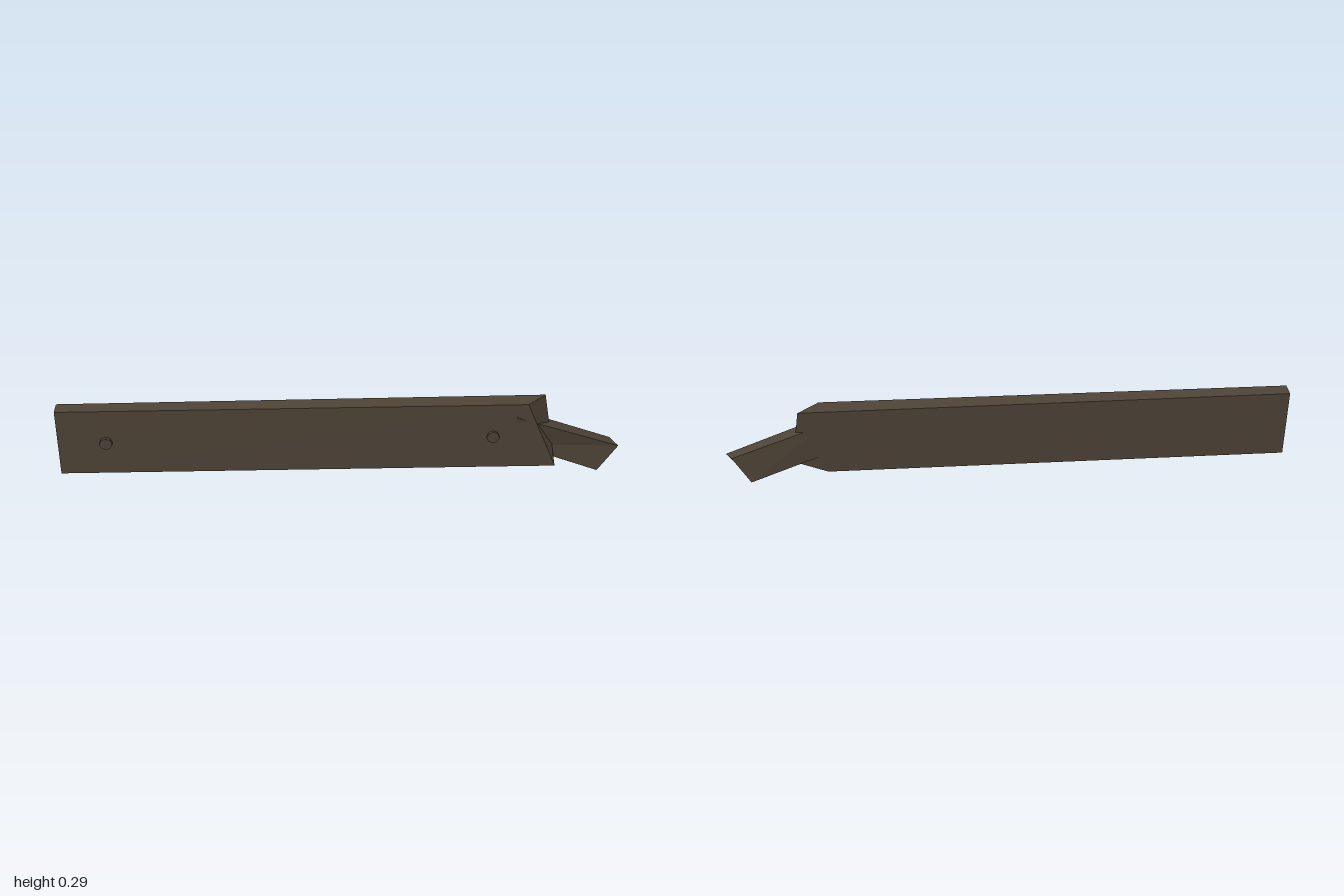
import * as THREE from 'three';

// Six-sided block from two end sections, each listed
// top front, top back, bottom back, bottom front.
function block(leftEnd, rightEnd) {
  const corners = [...leftEnd, ...rightEnd];
  const quads = [
    [0, 1, 2, 3], // left end
    [7, 6, 5, 4], // right end
    [3, 7, 4, 0], // front
    [1, 5, 6, 2], // back
    [0, 4, 5, 1], // top
    [2, 6, 7, 3], // bottom
  ];
  const positions = [];
  for (const [a, b, c, d] of quads) {
    for (const i of [a, b, c, a, c, d]) positions.push(...corners[i]);
  }
  const geometry = new THREE.BufferGeometry();
  geometry.setAttribute('position', new THREE.Float32BufferAttribute(positions, 3));
  geometry.computeVertexNormals();
  return geometry;
}

export function createModel() {
  const group = new THREE.Group();
  const wood = new THREE.MeshStandardMaterial({ color: 0x4f4538 });
  wood.name = 'dark weathered wood';

  const add = (name, geometry) => {
    const mesh = new THREE.Mesh(geometry, wood);
    mesh.name = name;
    group.add(mesh);
    return mesh;
  };

  // Slightly twisted plank with a jagged, snapped right end
  add('plank', block(
    [[-1, 0.29, 0.018], [-1, 0.29, -0.037], [-1, 0.037, -0.035], [-1, 0.037, 0.022]],
    [[0.66, 0.29, 0.027], [0.73, 0.29, -0.039], [0.64, 0.037, -0.035], [0.77, 0.037, 0.037]],
  ));

  // Broken splinter hanging from the snapped end
  add('splinter', block(
    [[0.62, 0.239, 0.032], [0.64, 0.232, -0.03], [0.64, 0.11, -0.03], [0.62, 0.118, 0.014]],
    [[1, 0.1, 0.011], [0.975, 0.109, -0.034], [0.915, 0.006, -0.038], [0.93, 0, 0.017]],
  ));

  // Nail heads on the front
  for (const [name, x, front] of [['leftNail', -0.83, 0.034], ['rightNail', 0.54, 0.04]]) {
    const geometry = new THREE.CylinderGeometry(0.023, 0.023, 0.03, 8).toNonIndexed();
    geometry.computeVertexNormals();
    const nail = add(name, geometry);
    nail.rotation.x = Math.PI / 2;
    nail.position.set(x, 0.163, front - 0.015);
  }

  return group;
}
